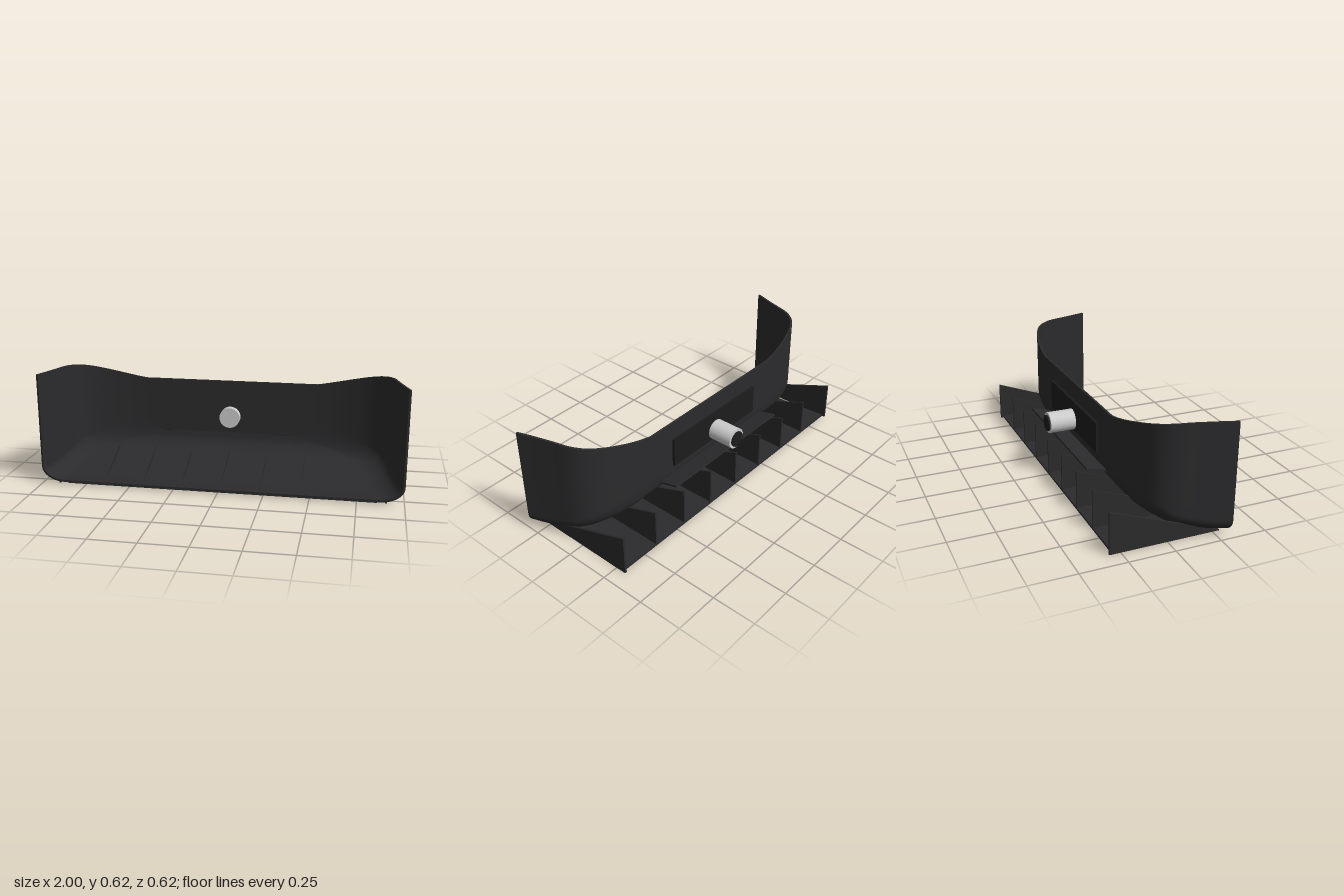
import * as THREE from 'three';

const dark = new THREE.MeshStandardMaterial({ color: 0x2b2b2d, side: THREE.DoubleSide });
const black = new THREE.MeshStandardMaterial({ color: 0x1c1c1e });
const grey = new THREE.MeshStandardMaterial({ color: 0xcccccc });

function mesh(name, geometry, material) {
  const m = new THREE.Mesh(geometry, material);
  m.name = name;
  return m;
}

function surface(positions, index) {
  const g = new THREE.BufferGeometry();
  g.setAttribute('position', new THREE.Float32BufferAttribute(positions, 3));
  if (index) g.setIndex(index);
  g.computeVertexNormals();
  return g;
}

// Half width (x), floor height (y) and depth (z) from the front lip to the back wall
const path = new THREE.CatmullRomCurve3([
  [1, 0.012, 0.31], [0.97, 0.015, 0.22], [0.943, 0.034, 0.13], [0.912, 0.065, 0.03],
  [0.865, 0.1, -0.035], [0.8, 0.122, -0.075], [0.7, 0.15, -0.105], [0.6, 0.18, -0.122], [0.5, 0.22, -0.13],
].map((p) => new THREE.Vector3(...p)));

// Height of the top edge: low in the middle, sweeping up to the sides
function topHeight(x) {
  const t = THREE.MathUtils.clamp((x - 0.5) / 0.43, 0, 1);
  return 0.53 + 0.095 * (0.75 * t + 0.25 * t * t * (3 - 2 * t));
}

// One half of a cross-section: floor, rounded corner, wall
function halfSection({ x: w, y: f, z }) {
  const pts = [], rx = 0.13, ry = 0.085;
  for (let i = 0; i < 5; i++) pts.push([(w - rx) * i / 5, f, z]);
  for (let i = 0; i <= 8; i++) {
    const a = i / 8 * Math.PI / 2;
    pts.push([w - rx + rx * Math.sin(a), f + ry * (1 - Math.cos(a)), z]);
  }
  for (let i = 1; i <= 6; i++) pts.push([w, THREE.MathUtils.lerp(f + ry, topHeight(w), i / 6), z]);
  return pts;
}

function createShell() {
  const rows = 48, pos = [], index = [];
  let n = 0;
  for (let i = 0; i <= rows; i++) {
    const half = halfSection(path.getPoint(i / rows));
    const row = [...half.slice(1).reverse().map(([x, y, z]) => [-x, y, z]), ...half];
    n = row.length;
    pos.push(...row.flat());
  }
  const quad = (a, b, c, d) => index.push(a, b, c, a, c, d);
  for (let i = 0; i < rows; i++) {
    for (let j = 0; j < n - 1; j++) {
      const a = i * n + j;
      quad(a, a + 1, a + 1 + n, a + n);
    }
  }
  // Flat back wall closes the last section
  const last = rows * n;
  for (let j = 0; j < (n - 1) / 2; j++) quad(last + j, last + j + 1, last + n - 2 - j, last + n - 1 - j);

  const outer = surface(pos, index);
  const normals = outer.attributes.normal.array;
  const inPos = pos.map((v, k) => v + normals[k] * 0.012);
  const inner = surface(inPos, index);

  // Rim joining both skins around the front lip and the top edge
  const loop = [];
  for (let j = 0; j < n; j++) loop.push(j);
  for (let i = 1; i <= rows; i++) loop.push(i * n + n - 1);
  for (let i = rows; i > 0; i--) loop.push(i * n);
  const at = (arr, k) => arr.slice(k * 3, k * 3 + 3);
  const rim = [];
  loop.forEach((a, k) => {
    const b = loop[(k + 1) % loop.length];
    rim.push(...at(pos, a), ...at(pos, b), ...at(inPos, b), ...at(pos, a), ...at(inPos, b), ...at(inPos, a));
  });

  const g = new THREE.Group();
  g.name = 'shell';
  g.add(mesh('shellOutside', outer, dark), mesh('shellInside', inner, dark), mesh('shellRim', surface(rim), dark));
  return g;
}

// Upright wedge plate, tall at the back
function wedge(name, x, back, thickness) {
  const s = new THREE.Shape();
  s.moveTo(0.29, 0);
  s.lineTo(back, 0);
  s.lineTo(back, 0.23 - 0.375 * (back + 0.31));
  s.lineTo(0.29, 0.005);
  const g = new THREE.ExtrudeGeometry(s, { depth: thickness, bevelEnabled: false });
  g.translate(0, 0, -thickness / 2).rotateY(-Math.PI / 2);
  const m = mesh(name, g, dark);
  m.position.x = x;
  return m;
}

export function createModel() {
  const model = new THREE.Group();
  model.add(createShell());

  // Base plate, slightly narrower at the front
  const s = new THREE.Shape();
  s.moveTo(-0.895, 0.295);
  s.lineTo(0.895, 0.295);
  s.lineTo(0.858, -0.29);
  s.lineTo(-0.858, -0.29);
  const base = new THREE.ExtrudeGeometry(s, { depth: 0.012, bevelEnabled: false });
  base.rotateX(-Math.PI / 2);
  model.add(mesh('basePlate', base, dark));

  // Ribs and side plates
  for (let i = -3; i <= 3; i++) model.add(wedge('rib', i * 0.22, -0.295, 0.01));
  for (const side of [-1, 1]) model.add(wedge('sidePlate', side * 0.905, -0.31, 0.012));

  // Mounting plate behind the wall
  const mount = mesh('mountingPlate', new THREE.BoxGeometry(0.69, 0.17, 0.015), black);
  mount.position.set(0, 0.345, -0.138);
  model.add(mount);

  // Sloping shelf under the mounting plate
  const shelf = mesh('shelf', new THREE.BoxGeometry(0.88, 0.01, 0.12), dark);
  shelf.position.set(0, 0.21, -0.181);
  shelf.rotation.x = 0.26;
  model.add(shelf);

  // Pin through the wall with a dark end cap
  const pin = mesh('pin', new THREE.CylinderGeometry(0.059, 0.059, 0.21, 40).rotateX(Math.PI / 2), grey);
  pin.position.set(0, 0.319, -0.186);
  const cap = mesh('pinCap', new THREE.CylinderGeometry(0.045, 0.045, 0.02, 40).rotateX(Math.PI / 2), black);
  cap.position.set(0, 0.319, -0.291);
  model.add(pin, cap);
  return model;
}
